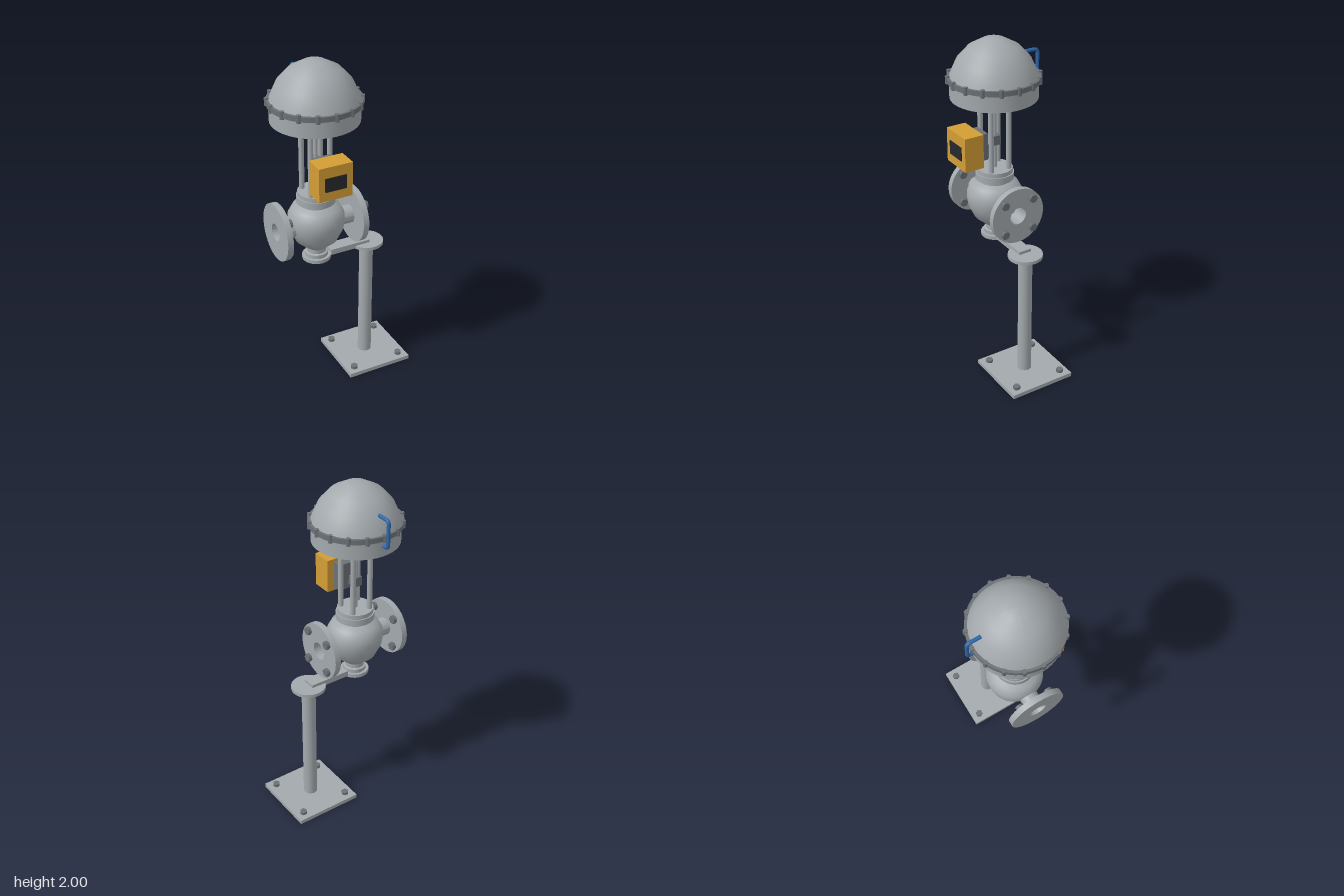
import * as THREE from 'three';
import { toCreasedNormals } from 'three/addons/utils/BufferGeometryUtils.js';

export function createModel() {
  const model = new THREE.Group();
  model.name = 'controlValve';
  const mat = (name, color, side = THREE.FrontSide) => {
    const m = new THREE.MeshStandardMaterial({ color, side });
    m.name = name;
    return m;
  };
  const steel = mat('light steel', 0xa3a9ad, THREE.DoubleSide);
  const dark = mat('dark steel', 0x6c7176);
  const amber = mat('amber housing', 0xd39d35);
  const black = mat('black display', 0x26282b);
  const blue = mat('blue tubing', 0x2d68ab);

  const AX = -0.131, AZ = 0.013, PX = 0.196; // valve axis, post axis
  const PIPE_Y = 1.028;

  const add = (name, geo, material, x = 0, y = 0, z = 0, parent = model) => {
    const m = new THREE.Mesh(geo, material);
    m.name = name;
    m.position.set(x, y, z);
    parent.add(m);
    return m;
  };
  const box = (name, w, h, d, material, x, y, z) =>
    add(name, new THREE.BoxGeometry(w, h, d), material, x, y, z);
  // Upright cylinder given by its bottom and top heights
  const disc = (name, r, y0, y1, material, x = AX, z = AZ, sides = 48) =>
    add(name, new THREE.CylinderGeometry(r, r, y1 - y0, sides), material, x, (y0 + y1) / 2, z);
  const lathe = (pts, crease = 0.75) => toCreasedNormals(
    new THREE.LatheGeometry(pts.map(([r, y]) => new THREE.Vector2(r, y)), 48), crease);
  const hexBolt = (name, r, h, x, y, z) => {
    const g = new THREE.CylinderGeometry(r, r, h, 6);
    g.rotateY(Math.PI / 6);
    return add(name, g, dark, x, y, z);
  };

  // Floor stand
  box('basePlate', 0.408, 0.025, 0.408, steel, PX, 0.0125, AZ);
  for (const sx of [-1, 1]) for (const sz of [-1, 1])
    hexBolt('baseBolt', 0.022, 0.018, PX + sx * 0.153, 0.034, AZ + sz * 0.153);
  disc('post', 0.041, 0.02, 0.805, steel, PX);
  disc('postCap', 0.1, 0.802, 0.822, steel, PX);
  box('supportArm', 0.25, 0.034, 0.08, steel, 0.07, 0.823, AZ);

  // Valve body with rounded belly
  add('valveBody', lathe([
    [0, 0.872], [0.055, 0.872], [0.122, 0.93], [0.155, 1.0], [0.163, 1.05],
    [0.16, 1.09], [0.135, 1.137], [0.09, 1.155], [0.09, 1.175], [0, 1.175],
  ]), steel, AX, 0, AZ);

  // Open bottom outlet with stepped collar and flange
  add('bottomOutlet', lathe([
    [0.045, 0.875], [0.045, 0.797], [0.083, 0.797], [0.083, 0.819], [0.066, 0.819],
    [0.066, 0.842], [0.055, 0.846], [0.055, 0.875],
  ], 0.5), steel, AX, 0, AZ);

  // Side pipes with bored flanges
  for (const s of [-1, 1]) {
    const port = add('sidePort', lathe([
      [0.051, 0.13], [0.051, 0.252], [0.1675, 0.252], [0.1675, 0.217],
      [0.053, 0.217], [0.053, 0.13],
    ].reverse(), 0.5), steel, AX, PIPE_Y, AZ);
    port.rotation.z = -s * Math.PI / 2;
    for (const sy of [-1, 1]) for (const sz of [-1, 1]) {
      const x = s > 0 ? AX + 0.262 : AX - 0.207;
      const b = hexBolt('flangeBolt', 0.025, 0.023, x, PIPE_Y + sy * 0.092, AZ + sz * 0.092);
      b.rotation.set(0, 0, Math.PI / 2);
      b.geometry.rotateY(-Math.PI / 6);
    }
  }

  // Bonnet
  disc('bonnetFlange', 0.111, 1.17, 1.21, steel);
  disc('bonnetCap', 0.104, 1.21, 1.236, steel);

  // Yoke rods, stem and stem clamp
  for (const sx of [-1, 1]) for (const sz of [-1, 1])
    disc('yokeRod', 0.0155, 1.23, 1.63, steel, AX + sx * 0.058, AZ + sz * 0.058, 20);
  disc('stem', 0.013, 1.23, 1.63, steel, AX, AZ, 20);
  box('stemClamp', 0.053, 0.056, 0.053, dark, AX, 1.407, AZ);

  // Positioner
  box('positionerBracket', 0.11, 0.16, 0.055, dark, AX, 1.4, 0.117);
  box('positionerHousing', 0.2, 0.2, 0.118, amber, AX - 0.001, 1.4, 0.202);
  box('positionerDisplay', 0.127, 0.082, 0.005, black, AX - 0.002, 1.396, 0.2625);

  // Diaphragm actuator
  disc('actuatorMount', 0.122, 1.622, 1.645, steel);
  add('lowerCasing', lathe([
    [0, 1.64], [0.122, 1.64], [0.247, 1.667], [0.247, 1.765], [0, 1.765],
  ], 0.5), steel, AX, 0, AZ);
  disc('rimFlange', 0.26, 1.763, 1.792, dark, AX, AZ, 64);
  add('domeCover', lathe([
    [0.246, 1.79], [0.238, 1.81], [0.206, 1.882], [0.145, 1.95], [0.06, 1.997], [0, 2.0],
  ]), steel, AX, 0, AZ);
  for (let i = 0; i < 16; i++) {
    const a = i * Math.PI / 8;
    hexBolt('rimBolt', 0.0135, 0.044, AX + 0.256 * Math.cos(a), 1.778, AZ + 0.256 * Math.sin(a));
  }

  // Air tube with rounded bends
  const p = (y, z) => new THREE.Vector3(AX, y, z);
  const path = new THREE.CurvePath();
  path.add(new THREE.LineCurve3(p(1.887, -0.19), p(1.887, -0.247)));
  path.add(new THREE.QuadraticBezierCurve3(p(1.887, -0.247), p(1.887, -0.271), p(1.863, -0.271)));
  path.add(new THREE.LineCurve3(p(1.863, -0.271), p(1.752, -0.271)));
  path.add(new THREE.QuadraticBezierCurve3(p(1.752, -0.271), p(1.728, -0.271), p(1.728, -0.247)));
  path.add(new THREE.LineCurve3(p(1.728, -0.247), p(1.728, -0.22)));
  add('airTube', new THREE.TubeGeometry(path, 60, 0.0105, 12), blue);
  const end = add('airTubeEnd', new THREE.CircleGeometry(0.0105, 12), blue, AX, 1.887, -0.19);
  end.name = 'airTubeEnd';

  return model;
}
